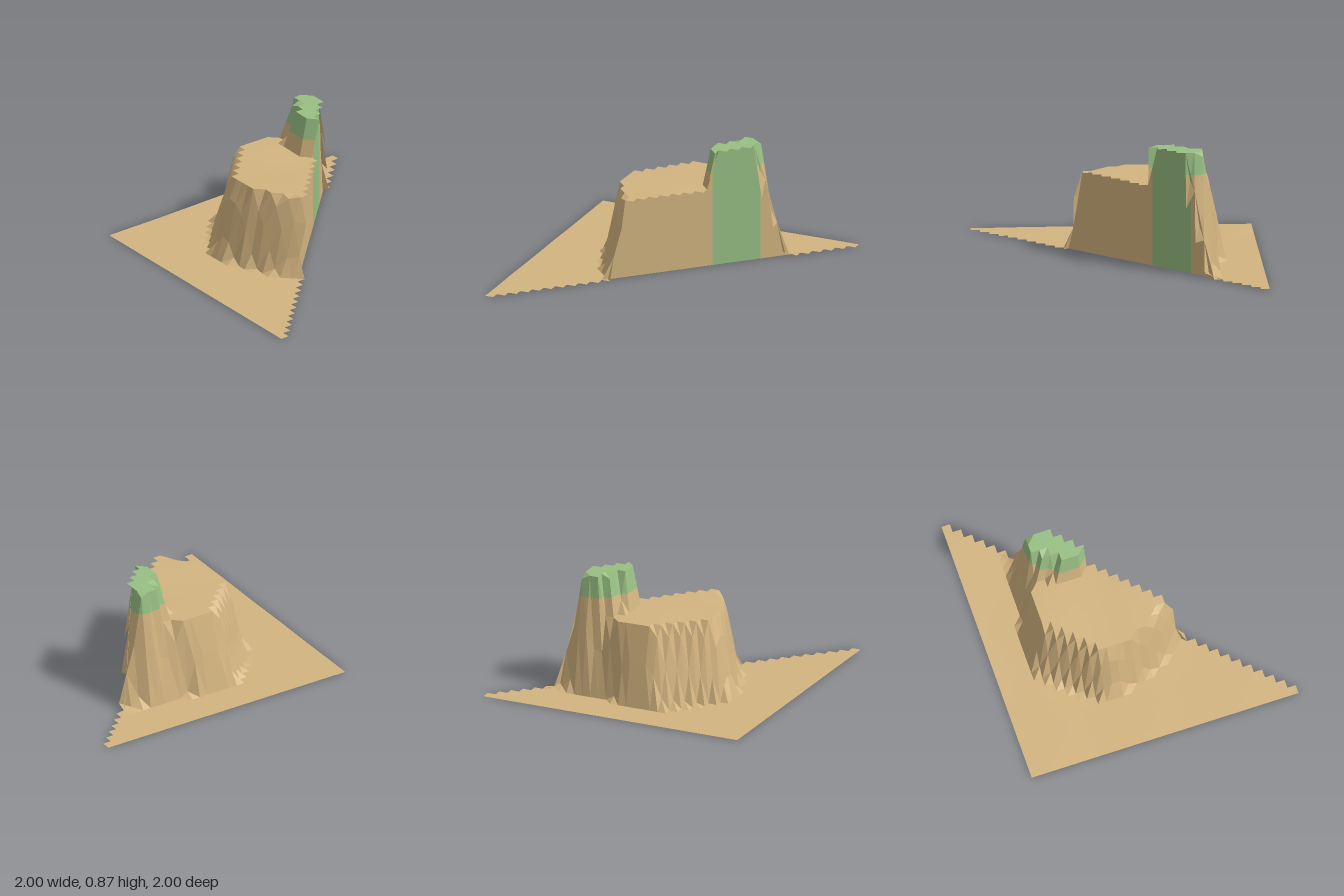
import * as THREE from 'three';

const N = 32, S = 2 / N;          // grid cells per side, cell size
const GROUND = 0.003, MESA = 0.585, PILLAR = 0.872, GREEN_FROM = 0.715;

// Outlines as [x, z] in plan: foot and rim of the mesa and of the pillar
const mesaFoot = [[-0.28, 0.4], [-0.37, 0.325], [-0.44, 0.25], [-0.5, 0.1], [-0.565, -0.08], [-0.625, -0.18],
  [-0.625, -0.31], [-0.56, -0.375], [-0.375, -0.6], [-0.25, -0.75], [0.06, -0.75], [0.14, -0.69],
  [0.44, -0.69], [0.52, -0.63], [0.66, -0.63], [0.66, -0.2], [0.1, 0.4]];
const mesaRim = [[-0.24, 0.26], [-0.32, 0.15], [-0.38, 0.05], [-0.38, -0.01], [-0.445, -0.07], [-0.445, -0.315],
  [-0.25, -0.51], [-0.13, -0.63], [0.13, -0.63], [0.2, -0.57], [0.4, -0.57], [0.44, -0.51],
  [0.44, -0.3], [0, 0.26]];
const pillarFoot = [[0.22, -0.1], [0.11, -0.2], [0.11, -0.43], [0.24, -0.6], [0.31, -0.69], [0.44, -0.69],
  [0.52, -0.64], [0.65, -0.64], [0.65, -0.56], [0.56, -0.42], [0.4, -0.25]];
const pillarRim = [[0.24, -0.18], [0.18, -0.24], [0.18, -0.38], [0.305, -0.57], [0.42, -0.57],
  [0.445, -0.5], [0.445, -0.36]];

function inside(x, z, poly) {
  let hit = false;
  poly.forEach(([ax, az], i) => {
    const [bx, bz] = poly[(i + 1) % poly.length];
    if ((az > z) !== (bz > z) && x < ax + (bx - ax) * (z - az) / (bz - az)) hit = !hit;
  });
  return hit;
}

function distance(x, z, poly) {
  return Math.min(...poly.map(([ax, az], i) => {
    const [bx, bz] = poly[(i + 1) % poly.length];
    const dx = bx - ax, dz = bz - az;
    const t = THREE.MathUtils.clamp(((x - ax) * dx + (z - az) * dz) / (dx * dx + dz * dz), 0, 1);
    return Math.hypot(x - ax - dx * t, z - az - dz * t);
  }));
}

// 0 outside the foot, 1 inside the rim, a steep slope between
function rise(x, z, foot, rim) {
  if (inside(x, z, rim)) return 1;
  if (!inside(x, z, foot)) return 0;
  const f = distance(x, z, foot), r = distance(x, z, rim);
  return THREE.MathUtils.smoothstep(f / (f + r), 0, 1);
}

// Land point at grid corner (i, j); h is the column height that decides the colour
function corner(i, j) {
  const x = -1 + i * S, z = -1 + j * S;
  const ripple = 0.5 * Math.sin(7 * x + 2) + 0.5 * Math.sin(9 * z - 3 * x);
  const m = rise(x, z, mesaFoot, mesaRim) * (MESA + 0.005 * ripple);
  const p = rise(x, z, pillarFoot, pillarRim) * (PILLAR + 0.004 * ripple);
  const h = Math.max(GROUND + 0.002 * ripple, m, p);
  return { x, y: h, z, h };
}

const flat = (p) => ({ ...p, y: 0 });

// Keep the part of a polygon above (sign 1) or below (sign -1) the colour line
function clip(poly, sign) {
  const out = [];
  poly.forEach((a, i) => {
    const b = poly[(i + 1) % poly.length];
    const da = sign * (a.h - GREEN_FROM), db = sign * (b.h - GREEN_FROM);
    if (da >= 0) out.push(a);
    if (da * db < 0) {
      const t = da / (da - db), q = {};
      for (const k of ['x', 'y', 'z', 'h']) q[k] = a[k] + (b[k] - a[k]) * t;
      out.push(q);
    }
  });
  return out;
}

function polygonMesh(name, polys, material) {
  const pos = [];
  for (const p of polys)
    for (let i = 1; i + 1 < p.length; i++)
      for (const v of [p[0], p[i], p[i + 1]]) pos.push(v.x, v.y, v.z);
  const geo = new THREE.BufferGeometry();
  geo.setAttribute('position', new THREE.Float32BufferAttribute(pos, 3));
  geo.computeVertexNormals();
  const mesh = new THREE.Mesh(geo, material);
  mesh.name = name;
  return mesh;
}

export function createModel() {
  const sand = new THREE.MeshStandardMaterial({ name: 'sand', color: 0xd3b480, flatShading: true, side: THREE.DoubleSide });
  const green = new THREE.MeshStandardMaterial({ name: 'green', color: 0x98bf83, flatShading: true, side: THREE.DoubleSide });
  const land = [], underside = [], wall = [];

  // Terrain surface with a stepped edge, and the flat base under it
  for (let j = 0; j < N; j++) {
    for (let i = 0; i + j < N; i++) {
      const a = corner(i, j), b = corner(i + 1, j), c = corner(i + 1, j + 1), d = corner(i, j + 1);
      land.push([a, d, c], [a, c, b]);
      if (i + j < N - 1) underside.push([a, c, d].map(flat), [a, b, c].map(flat));
      else underside.push([a, b, d].map(flat));
    }
  }

  // Straight diagonal cut face
  for (let i = 0; i < N; i++) {
    const p = corner(i, N - i), q = corner(i + 1, N - i - 1);
    wall.push([flat(p), flat(q), q, p]);
  }

  const model = new THREE.Group();
  model.name = 'terrain';
  for (const [name, polys] of [['land', land], ['underside', underside], ['cutWall', wall]]) {
    const part = new THREE.Group();
    part.name = name;
    part.add(polygonMesh(name + 'Sand', polys.map((p) => clip(p, -1)), sand));
    part.add(polygonMesh(name + 'Green', polys.map((p) => clip(p, 1)), green));
    model.add(part);
  }
  return model;
}
